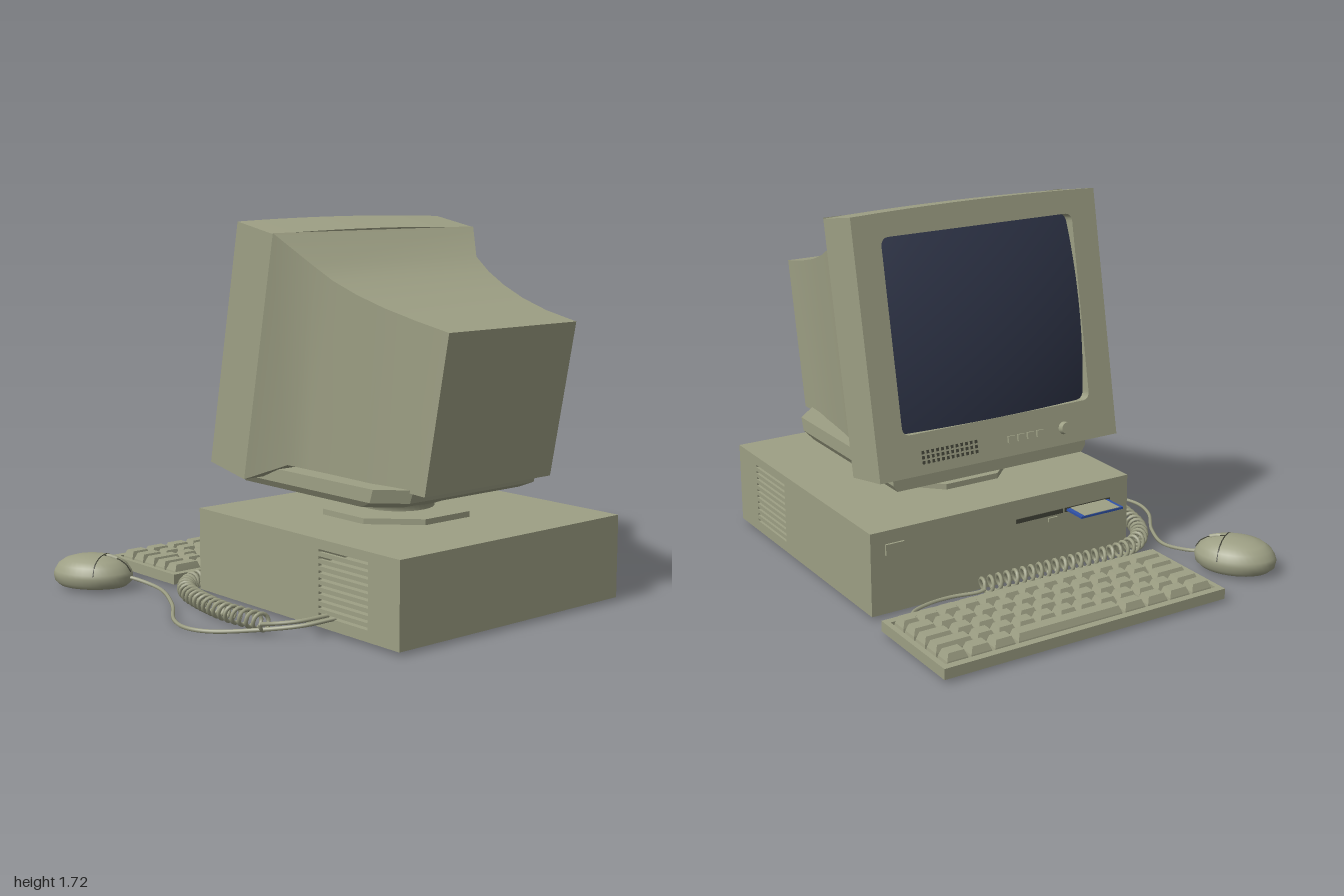
import * as THREE from 'three';
import { mergeGeometries, toCreasedNormals } from 'three/addons/utils/BufferGeometryUtils.js';

const V = (x, y, z) => new THREE.Vector3(x, y, z);
const mat = (name, color, side = THREE.FrontSide) => {
  const m = new THREE.MeshStandardMaterial({ color, side });
  m.name = name;
  return m;
};

// Skin a list of rings (each counter-clockwise about the travel direction), with caps.
function loft(rings, crease = 0.5) {
  const n = rings[0].length, pos = rings.flat(2), idx = [];
  for (let r = 0; r < rings.length - 1; r++)
    for (let i = 0; i < n; i++) {
      const a = r * n + i, b = r * n + (i + 1) % n;
      idx.push(a, b, b + n, a, b + n, a + n);
    }
  const e = (rings.length - 1) * n;
  for (let i = 1; i < n - 1; i++) idx.push(0, i + 1, i, e, e + i, e + i + 1);
  const g = new THREE.BufferGeometry();
  g.setAttribute('position', new THREE.Float32BufferAttribute(pos, 3));
  g.setIndex(idx);
  return toCreasedNormals(g, crease);
}

const rectRing = (x0, x1, z0, z1, y) => [[x0, y, z1], [x1, y, z1], [x1, y, z0], [x0, y, z0]];

function rectPath(path, x0, y0, x1, y1) {
  return path.moveTo(x0, y0).lineTo(x1, y0).lineTo(x1, y1).lineTo(x0, y1).closePath();
}

function boxSpan(x0, x1, y0, y1, z0, z1) {
  return new THREE.BoxGeometry(x1 - x0, y1 - y0, z1 - z0)
    .translate((x0 + x1) / 2, (y0 + y1) / 2, (z0 + z1) / 2);
}

const tube = (pts, r, seg = 60, sides = 6) =>
  new THREE.TubeGeometry(new THREE.CatmullRomCurve3(pts), seg, r, sides);

export function createModel() {
  const root = new THREE.Group();
  const beige = mat('beige plastic', 0x9d9f84);
  const glass = mat('dark screen glass', 0x30364a);
  const blue = mat('blue disk', 0x2f52a8);
  const dark = mat('dark slot', 0x45463a);
  const add = (parent, name, geo, m = beige) => {
    const mesh = new THREE.Mesh(geo, m);
    mesh.name = name;
    parent.add(mesh);
    return mesh;
  };
  const group = (name) => {
    const g = new THREE.Group();
    g.name = name;
    root.add(g);
    return g;
  };

  // Hollow desktop case with slotted side panels
  const pc = group('desktopCase');
  add(pc, 'caseTop', boxSpan(-0.34, 1, 0.385, 0.4, -0.875, 0.435));
  add(pc, 'caseBottom', boxSpan(-0.34, 1, 0.02, 0.035, -0.875, 0.435));
  add(pc, 'caseFront', boxSpan(-0.34, -0.325, 0.035, 0.385, -0.875, 0.435));
  add(pc, 'caseBack', boxSpan(0.985, 1, 0.035, 0.385, -0.875, 0.435));
  const panel = rectPath(new THREE.Shape(), -0.34, 0.02, 1, 0.4);
  for (let i = 0; i < 10; i++) {
    const y = 0.07 + i * 0.0305;
    panel.holes.push(rectPath(new THREE.Path(), 0.5, y, 0.81, y + 0.012));
  }
  for (const z of [0.435, -0.89])
    add(pc, 'ventedSidePanel',
      new THREE.ExtrudeGeometry(panel, { depth: 0.015, bevelEnabled: false }).translate(0, 0, z));
  for (const z of [-0.16, 0.1]) {
    add(pc, 'driveSlot', boxSpan(-0.344, -0.338, 0.29, 0.31, z, z + 0.25), dark);
    add(pc, 'driveLatch', boxSpan(-0.348, -0.338, 0.262, 0.28, z + 0.17, z + 0.22));
  }
  add(pc, 'powerButton', boxSpan(-0.35, -0.338, 0.29, 0.34, -0.82, -0.73));

  // Floppy disk sticking out of the drive
  const disk = group('floppyDisk');
  add(disk, 'diskShell', boxSpan(-0.46, -0.3, 0.295, 0.305, 0.11, 0.34), blue);
  add(disk, 'diskLabel', boxSpan(-0.457, -0.32, 0.293, 0.307, 0.13, 0.322));

  // Swivel stand
  const stand = group('swivelStand');
  add(stand, 'standPlate', toCreasedNormals(new THREE.CylinderGeometry(0.355, 0.355, 0.028, 8)
    .rotateY(Math.PI / 8), 0.3).translate(0.27, 0.412, -0.215));
  const dish = [[0.17, 0.42], [0.17, 0.455], [0.22, 0.462], [0.265, 0.48], [0.29, 0.505], [0.295, 0.53], [0, 0.53]];
  add(stand, 'swivelDish', new THREE.LatheGeometry(dish.map(p => new THREE.Vector2(...p)), 40)
    .translate(0.27, 0, -0.215));
  const footRing = (y, x1, h, c = 0.12) =>
    [[-0.24, h], [x1 - c, h], [x1, h - c], [x1, c - h], [x1 - c, -h], [-0.24, -h]]
      .map(([x, z]) => [x, y, z - 0.22]);
  add(stand, 'tiltFoot', loft([footRing(0.52, 0.68, 0.48), footRing(0.55, 0.75, 0.5), footRing(0.61, 0.77, 0.5)], 0.3));

  // Monitor, built facing +z, then turned to the side and tilted back
  const monitor = group('monitor');
  monitor.position.set(-0.33, 0.61, -0.22);
  monitor.rotation.set(-0.19, -Math.PI / 2, 0, 'YXZ');
  const frame = new THREE.Shape();
  frame.moveTo(-0.61, 0).lineTo(0.61, 0).lineTo(0.61, 1.118)
    .quadraticCurveTo(0, 1.142, -0.61, 1.118).closePath();
  const hole = new THREE.Path(), r = 0.04, L = 0.48, B = 0.18, T = 1.02;
  hole.moveTo(-L + r, B).lineTo(L - r, B).quadraticCurveTo(L, B, L, B + r)
    .lineTo(L, T - r).quadraticCurveTo(L, T, L - r, T)
    .lineTo(-L + r, T).quadraticCurveTo(-L, T, -L, T - r)
    .lineTo(-L, B + r).quadraticCurveTo(-L, B, -L + r, B);
  frame.holes.push(hole);
  add(monitor, 'screenBezel', new THREE.ExtrudeGeometry(frame, { depth: 0.25, bevelEnabled: false, curveSegments: 10 })
    .translate(0, 0, -0.25));
  const screen = new THREE.PlaneGeometry(2 * L + 0.02, T - B + 0.02, 20, 20);
  const sp = screen.attributes.position;
  for (let i = 0; i < sp.count; i++) {
    const u = sp.getX(i) / L, v = sp.getY(i) / 0.42;
    sp.setZ(i, 0.04 - 0.05 * u * u - 0.045 * v * v);
  }
  screen.computeVertexNormals();
  add(monitor, 'screenGlass', screen.translate(0, (T + B) / 2, 0), glass);

  // Tapered tube housing: depth, half width, bottom, top
  const sections = [
    [0.25, 0.61, 0, 1.122], [0.405, 0.5, 0.106, 1.015], [0.52, 0.475, 0.121, 0.973],
    [0.65, 0.448, 0.138, 0.943], [0.8, 0.42, 0.157, 0.922], [0.97, 0.395, 0.179, 0.911], [1.155, 0.385, 0.203, 0.91],
  ];
  add(monitor, 'rearHousing', loft(sections.map(([b, w, lo, hi]) =>
    [[-w, lo, -b], [-w, hi, -b], [w, hi, -b], [w, lo, -b]])));

  // Bezel controls
  for (let i = 0; i < 12; i++)
    for (let j = 0; j < 3; j++) {
      const x = -0.4 + i * 0.024, y = 0.045 + j * 0.022;
      add(monitor, 'speakerSlot', boxSpan(x, x + 0.012, y, y + 0.014, -0.002, 0.003), dark);
    }
  for (let i = 0; i < 4; i++) {
    const x = 0.03 + i * 0.05;
    add(monitor, 'controlButton', boxSpan(x, x + 0.036, 0.06, 0.09, -0.002, 0.012));
  }
  add(monitor, 'controlKnob', new THREE.CylinderGeometry(0.026, 0.03, 0.03, 20)
    .rotateX(Math.PI / 2).translate(0.33, 0.075, 0.01));

  // Keyboard
  const kb = group('keyboard');
  add(kb, 'keyboardBase', boxSpan(-1, -0.48, 0.02, 0.045, -0.92, 0.5));
  const rim = rectPath(new THREE.Shape(), -1, -0.5, -0.48, 0.92);
  rim.holes.push(rectPath(new THREE.Path(), -0.965, -0.475, -0.515, 0.895));
  add(kb, 'keyboardRim', new THREE.ExtrudeGeometry(rim, { depth: 0.023, bevelEnabled: false })
    .rotateX(-Math.PI / 2).translate(0, 0.045, 0));
  const ones = (n) => Array(n).fill(1);
  const rows = [
    [1.08, 1.08, 1.08, 5.16, 1.15, 1.15, 1.15, 1.15],
    [1.9, ...ones(10), 1.3],
    [1.5, ...ones(10), 1.7],
    [1.3, ...ones(11), 1.4],
    [...ones(12), 1.6],
  ];
  const keys = [];
  rows.forEach((widths, row) => {
    const unit = 1.355 / widths.reduce((a, b) => a + b), x0 = -0.958 + row * 0.089, x1 = x0 + 0.081;
    let z = -0.888;
    for (const w of widths) {
      const a = z + 0.004, b = z + w * unit - 0.004;
      keys.push(loft([rectRing(x0, x1, a, b, 0.045), rectRing(x0 + 0.004, x1 - 0.004, a + 0.004, b - 0.004, 0.068),
        rectRing(x0 + 0.016, x1 - 0.012, a + 0.016, b - 0.016, 0.098)], 0.2));
      z += w * unit;
    }
  });
  add(kb, 'keys', mergeGeometries(keys));

  // Mouse
  const mouse = group('mouse');
  mouse.position.set(-0.745, 0, 0.77);
  mouse.rotation.y = 0.61;
  const dome = [[1, 0.07], [0.97, 0.088], [0.87, 0.118], [0.7, 0.14], [0.45, 0.154], [0.2, 0.159], [0, 0.16]];
  const hull = [[0, 0.02], [0.85, 0.02], [0.97, 0.04], ...dome];
  add(mouse, 'mouseBody', new THREE.LatheGeometry(hull.map(p => new THREE.Vector2(...p)), 36).scale(0.19, 1, 0.14));
  const onDome = (x, z) => {
    const q = Math.min(0.999, Math.hypot(x / 0.19, z / 0.14));
    const i = dome.findIndex(p => p[0] <= q), [r0, y0] = dome[i - 1], [r1, y1] = dome[i];
    return V(x, y0 + (y1 - y0) * (q - r0) / (r1 - r0), z);
  };
  const steps = [...Array(13).keys()].map(i => i / 12);
  add(mouse, 'buttonSeam', tube(steps.map(t => onDome(0.05, -0.132 + 0.264 * t)), 0.003, 30, 4), dark);
  add(mouse, 'buttonDivide', tube(steps.map(t => onDome(0.05 + 0.135 * t, 0)), 0.004, 30, 4), dark);
  add(mouse, 'middleButton', tube(steps.map(t => onDome(0.07 + 0.05 * t, 0)), 0.012, 12, 8));

  // Cables
  const cables = group('cables');
  add(cables, 'mouseCable', tube([V(-0.61, 0.065, 0.68), V(-0.55, 0.055, 0.65), V(-0.4, 0.035, 0.63), V(-0.2, 0.02, 0.71),
    V(0, 0.012, 0.84), V(0.13, 0.012, 0.87), V(0.25, 0.015, 0.83), V(0.4, 0.03, 0.7), V(0.54, 0.055, 0.57), V(0.6, 0.075, 0.44)], 0.009, 90));
  const path = new THREE.CatmullRomCurve3([V(-0.395, 0.06, -0.38), V(-0.395, 0.06, -0.1), V(-0.4, 0.06, 0.2), V(-0.4, 0.06, 0.36),
    V(-0.35, 0.06, 0.5), V(-0.24, 0.06, 0.6), V(-0.05, 0.06, 0.66), V(0.18, 0.06, 0.69), V(0.42, 0.06, 0.67)]);
  const coil = [], turns = 40, up = V(0, 1, 0);
  for (let i = 0; i <= turns * 10; i++) {
    const t = i / (turns * 10), a = t * turns * Math.PI * 2;
    const side = path.getTangentAt(t).cross(up).normalize();
    coil.push(path.getPointAt(t).addScaledVector(side, Math.cos(a) * 0.035).addScaledVector(up, Math.sin(a) * 0.035));
  }
  add(cables, 'coiledCable', tube(coil, 0.009, turns * 14, 6));
  add(cables, 'keyboardLead', tube([V(-0.49, 0.05, -0.78), V(-0.44, 0.05, -0.74), V(-0.405, 0.05, -0.64),
    V(-0.4, 0.05, -0.53), V(-0.43, 0.055, -0.41), coil[0]], 0.009, 40));
  add(cables, 'caseLead', tube([coil[coil.length - 1], V(0.45, 0.06, 0.66), V(0.52, 0.07, 0.57), V(0.555, 0.08, 0.44)], 0.009, 30));

  return root;
}
